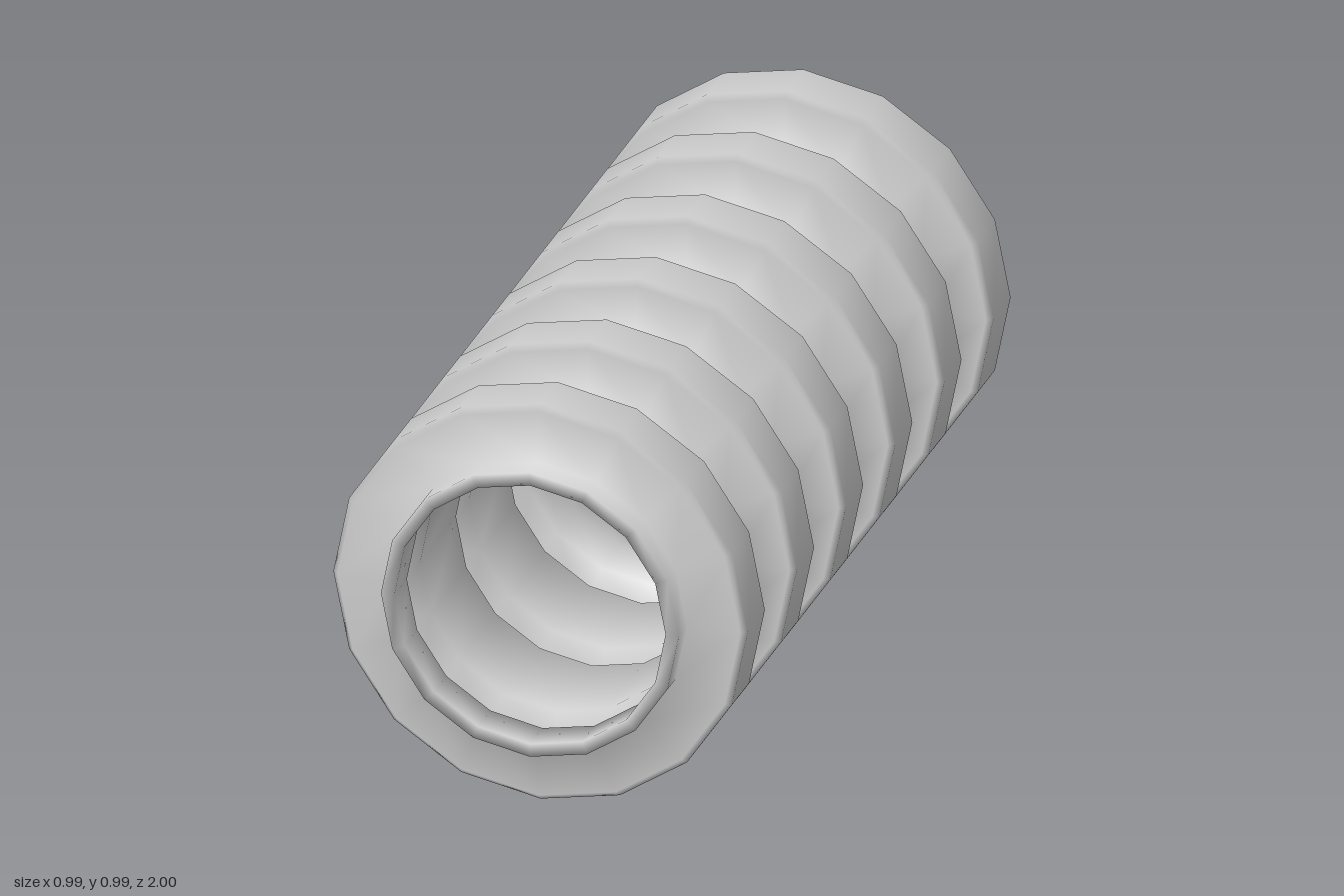
import * as THREE from 'three';

const SIDES = 16;
const RIBS = 6;
const PITCH = 0.346;

// One rib as [radius, offset along the axis], ordered along the axis
const outerRib = [
  [0.356, -0.078], [0.481, -0.073], [0.495, -0.06],
  [0.495, 0.06], [0.481, 0.073], [0.356, 0.078],
];
const innerRib = [
  [0.324, -0.047], [0.45, -0.042], [0.463, -0.03],
  [0.463, 0.03], [0.45, 0.042], [0.324, 0.047],
];

// Wall profile running from one end to the other with evenly spaced ribs
function wall(rib, radius) {
  const points = [new THREE.Vector2(radius, -1)];
  for (let i = 0; i < RIBS; i++) {
    const centre = (i - (RIBS - 1) / 2) * PITCH;
    for (const [r, d] of rib) points.push(new THREE.Vector2(r, centre + d));
  }
  points.push(new THREE.Vector2(radius, 1));
  return points;
}

export function createModel() {
  const group = new THREE.Group();
  group.name = 'corrugatedTube';

  // Closed profile: outside forward, inside back; the seam is hidden mid-bore
  const outer = wall(outerRib, 0.356);
  const inner = wall(innerRib, 0.324).reverse();
  const half = inner.length / 2;
  const seam = new THREE.Vector2(0.324, 0);
  const profile = [seam, ...inner.slice(half), ...outer, ...inner.slice(0, half), seam.clone()];

  // Sweep around the axis, then lay the tube along z
  const geometry = new THREE.LatheGeometry(profile, SIDES);
  geometry.rotateX(Math.PI / 2);
  geometry.translate(0, 0.495, 0);

  const tube = new THREE.Mesh(geometry, new THREE.MeshStandardMaterial({ color: 0xcccccc }));
  tube.name = 'ribbedTubeWall';
  group.add(tube);
  return group;
}
